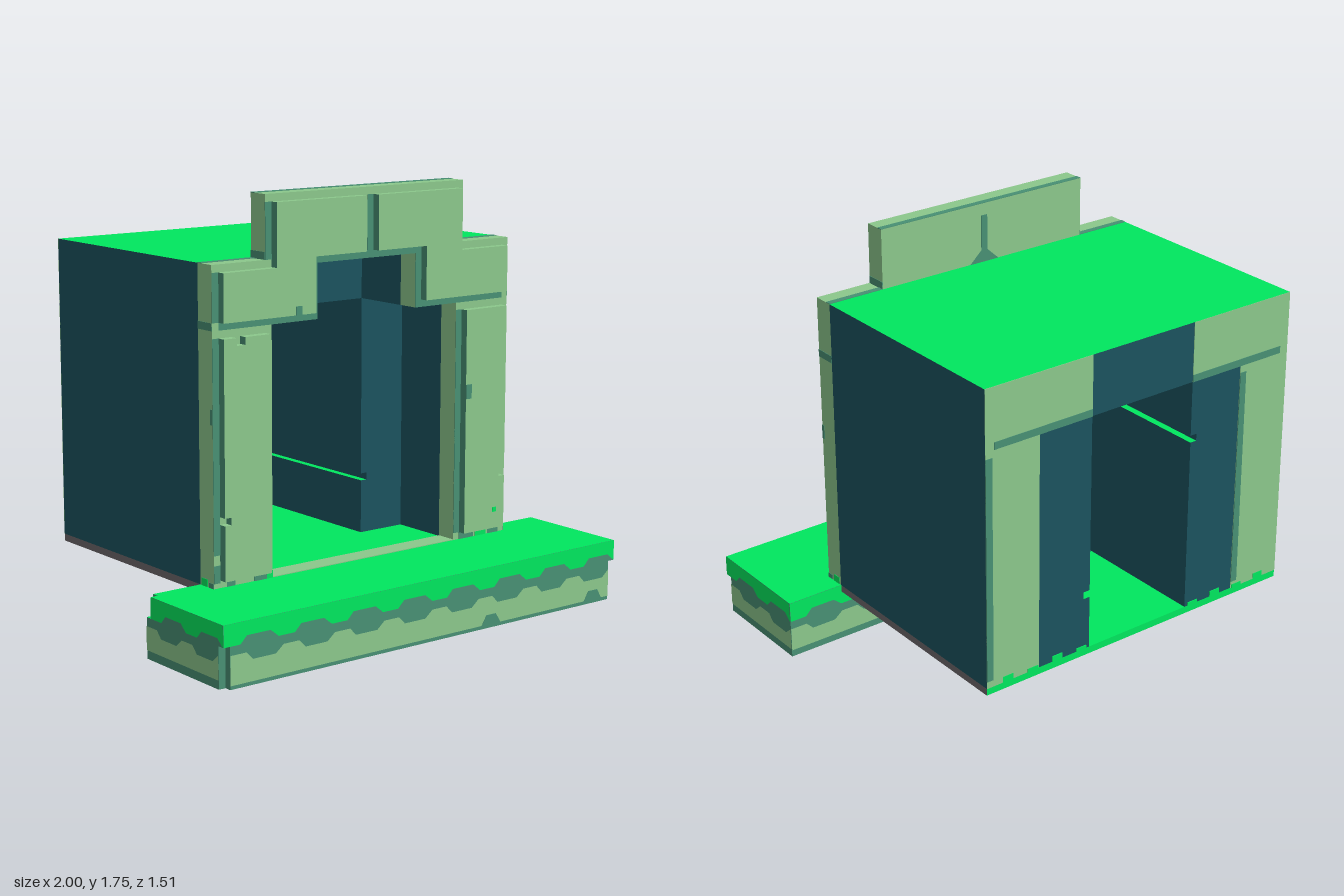
import * as THREE from 'three';

const mat = (name, color) => {
  const m = new THREE.MeshStandardMaterial({ color });
  m.name = name;
  return m;
};

export function createModel() {
  const root = new THREE.Group();
  root.name = 'tunnelGate';
  const GRASS = 0, STONE = 1, TEAL = 2, DARK = 3, GREY = 4;
  const mats = [
    mat('grass', 0x00ec60), mat('paleStone', 0x8bc78b), mat('tealStone', 0x489074),
    mat('darkWall', 0x1b525e), mat('greyBase', 0x6d686b),
  ];

  const add = (name, geo, material, parent = root) => {
    const m = new THREE.Mesh(geo, material);
    m.name = name;
    parent.add(m);
    return m;
  };
  // Choose a material per triangle from its facing direction
  const paint = (geo, rule) => {
    const g = geo.index ? geo.toNonIndexed() : geo;
    g.clearGroups();
    const n = g.attributes.normal;
    for (let i = 0; i < n.count; i += 3) g.addGroup(i, 3, rule(n.getX(i), n.getY(i), n.getZ(i)));
    return g;
  };
  const shape = (pts) => new THREE.Shape(pts.map(([x, y]) => new THREE.Vector2(x, y)));
  const slabOf = (pts, z0, z1) =>
    new THREE.ExtrudeGeometry(shape(pts), { depth: z1 - z0, bevelEnabled: false }).translate(0, 0, z0);
  const box = (x0, x1, y0, y1, z0, z1) =>
    new THREE.BoxGeometry(x1 - x0, y1 - y0, z1 - z0).translate((x0 + x1) / 2, (y0 + y1) / 2, (z0 + z1) / 2);
  const mirror = (pts) => pts.map(([x, y]) => [-x, y]).reverse();

  // ---- Ground slab: notched front corners below, one small notch above ----
  const slab = new THREE.Group();
  slab.name = 'groundSlab';
  root.add(slab);
  const c = 0.97, e = 0.03;
  const plan = (pts, y0, y1) => slabOf(pts, y0, y1).rotateX(-Math.PI / 2).translate(0, 0, 0.5);
  const grassTop = (x, y) => (y > 0.5 ? GRASS : TEAL);
  add('slabLower', paint(plan([
    [-c, -0.25], [c, -0.25], [c, -0.25 + e], [1, -0.25 + e], [1, 0.25], [-1, 0.25], [-1, -0.25 + e], [-c, -0.25 + e],
  ], 0, 0.165), grassTop), mats, slab);
  add('slabUpper', paint(plan([
    [-1, -0.25], [1, -0.25], [1, 0.25], [-c, 0.25], [-c, 0.25 - e], [-1, 0.25 - e],
  ], 0.165, 0.25), grassTop), mats, slab);

  // Stepped wave running from x = a to b between two heights
  const wave = (a, b, low, high, phase) => {
    const pts = [];
    const steps = Math.round((b - a) / 0.25);
    const p = (b - a) / steps;
    for (let i = 0; i < steps; i++) {
      [[0, 0], [0.3, 0], [0.42, 1], [0.85, 1]].forEach(([t, s]) =>
        pts.push([a + (i + t) * p, s === phase ? low : high]));
    }
    pts.push([b, phase ? high : low]);
    return pts;
  };
  // Each side: turn, distance out, grass span, stone span, stone bottom
  [
    [0, 0.25, [-1, 1], [-c, c], 0.015],
    [Math.PI, 0.25, [-1, c], [-1, 1], 0.03],
    [Math.PI / 2, 1, [-0.25, 0.25], [-0.22, 0.25], 0.035],
    [-Math.PI / 2, 1, [-0.22, 0.25], [-0.25, 0.22], 0.035],
  ].forEach(([turn, out, [g0, g1], [s0, s1], bottom]) => {
    const side = new THREE.Group();
    side.name = 'slabSideBands';
    side.position.z = 0.5;
    side.rotation.y = turn;
    slab.add(side);
    const grass = [...wave(g0, g1, 0.165, 0.195, 0), [g1, 0.25], [g0, 0.25]];
    const stone = [[s0, bottom], [s1, bottom], ...wave(s0, s1, 0.1, 0.13, 1).reverse()];
    add('grassFringe', new THREE.ShapeGeometry(shape(grass)).translate(0, 0, out + 0.002), mats[GRASS], side);
    add('stoneBand', new THREE.ShapeGeometry(shape(stone)).translate(0, 0, out + 0.002), mats[STONE], side);
  });
  // Low bumps along the foot of the front
  [0.31, 0.88].forEach((x) => add('footBump', slabOf([
    [x - 0.05, 0.015], [x + 0.05, 0.015], [x + 0.025, 0.055], [x - 0.025, 0.055],
  ], 0.75, 0.754), mats[TEAL], slab));

  // ---- Tunnel body ----
  const tunnel = new THREE.Group();
  tunnel.name = 'tunnel';
  root.add(tunnel);
  const wallRule = (x, y) => (y > 0.5 ? GRASS : y < -0.5 ? TEAL : DARK);
  // Narrow rear passage with a groove along each inner wall
  add('rearPassage', paint(slabOf([
    [-0.75, 0.25], [-0.25, 0.25], [-0.25, 0.99], [-0.28, 0.99], [-0.28, 1.02], [-0.25, 1.02], [-0.25, 1.25],
    [0.25, 1.25], [0.25, 0.505], [0.28, 0.505], [0.28, 0.475], [0.25, 0.475], [0.25, 0.25],
    [0.75, 0.25], [0.75, 1.5], [-0.75, 1.5],
  ], -0.75, 0), wallRule), mats, tunnel);
  // Wider front chamber
  const arch = [
    [-0.75, 0.25], [-0.47, 0.25], [-0.47, 1.25], [-0.25, 1.25], [-0.25, 1.47],
    [0.25, 1.47], [0.25, 1.25], [0.47, 1.25], [0.47, 0.25], [0.75, 0.25],
  ];
  add('frontChamber', paint(slabOf([...arch, [0.75, 1.5], [-0.75, 1.5]], 0, 0.25), wallRule), mats, tunnel);
  add('tunnelFloor', paint(box(-0.75, 0.75, 0.22, 0.25, -0.75, 0.25),
    (x, y, z) => (y > 0.5 || z < -0.5 ? GRASS : y < -0.5 ? TEAL : GREY)), mats, tunnel);
  add('chamberTuft', box(-0.28, -0.25, 0.25, 0.28, -0.001, 0.003), mats[GRASS], tunnel);

  // Painted rear face
  const rear = (name, m, x0, x1, y0, y1, lift = 0.002) =>
    add(name, box(x0, x1, y0, y1, -0.75 - lift, -0.749), mats[m], tunnel);
  [-1, 1].forEach((s) => {
    const span = (a, b) => [Math.min(s * a, s * b), Math.max(s * a, s * b)];
    rear('rearPillarFace', STONE, ...span(0.5, 0.75), 0.25, 1.25);
    rear('rearLintelFace', STONE, ...span(0.25, 0.75), 1.25, 1.5);
    rear('rearJoint', TEAL, ...span(0.25, 0.71), 1.25, 1.28, 0.004);
    const edge = s > 0 ? 0.735 : -0.515;
    rear('rearPillarEdge', TEAL, edge - 0.015, edge + 0.015, 0.28, 1.22, 0.004);
    for (let i = 0; i < 4; i++) {
      const x = s * (0.29 + i * 0.12);
      rear('rearGrassTuft', GRASS, x - 0.025, x + 0.025, 0.25, 0.265 + 0.01 * (i % 2), 0.004);
    }
  });

  // ---- Stepped stone portal ----
  const portal = new THREE.Group();
  portal.name = 'portal';
  root.add(portal);
  add('portalFrame', paint(slabOf([
    ...arch, [0.75, 1.5], [0.5, 1.5], [0.5, 1.75], [-0.5, 1.75], [-0.5, 1.5], [-0.75, 1.5],
  ], 0.25, 0.34), (x, y) => (y < -0.5 ? TEAL : STONE)), mats, portal);
  add('threshold', box(-0.47, 0.47, 0.248, 0.253, 0.25, 0.34), mats[STONE], portal);

  // Raised panels
  const panelRule = (x, y) => (Math.abs(x) > 0.5 || y < -0.5 ? TEAL : STONE);
  const panel = (name, pts) => add(name, paint(slabOf(pts, 0.34, 0.375), panelRule), mats, portal);
  const lintel = [
    [0.03, 1.5], [0.28, 1.5], [0.28, 1.28], [0.72, 1.28], [0.72, 1.47], [0.47, 1.47], [0.47, 1.72], [0.03, 1.72],
  ];
  panel('leftLintelPanel', lintel);
  panel('rightLintelPanel', mirror(lintel));
  panel('leftPillarPanel', [
    [0.5, 0.28], [0.72, 0.28], [0.72, 0.5], [0.69, 0.5], [0.69, 0.53], [0.72, 0.53], [0.72, 1.22], [0.5, 1.22],
  ]);
  panel('rightPillarPanel', [
    [-0.72, 0.28], [-0.5, 0.28], [-0.5, 1.22], [-0.62, 1.22], [-0.62, 1.19], [-0.66, 1.19], [-0.66, 1.22],
    [-0.72, 1.22], [-0.72, 0.53], [-0.69, 0.53], [-0.69, 0.5], [-0.72, 0.5],
  ]);

  // Painted grooves, chips and tufts on the front: x0, x1, y0, y1, colour, z
  [
    [-0.75, -0.72, 0.38, 1.22, TEAL, 0.34], [-0.75, -0.72, 0.27, 0.34, TEAL, 0.34],
    [0.47, 0.5, 0.28, 1.22, TEAL, 0.34],
    [-0.75, -0.72, 1.28, 1.47, TEAL, 0.34], [-0.5, -0.47, 1.5, 1.72, TEAL, 0.34],
    [0, 0.03, 1.5, 1.72, TEAL, 0.34], [-0.28, -0.25, 1.28, 1.47, TEAL, 0.34],
    [0.25, 0.28, 1.28, 1.47, TEAL, 0.34], [-0.28, 0.28, 1.47, 1.5, TEAL, 0.34],
    [-0.72, -0.25, 1.25, 1.28, TEAL, 0.34], [0.25, 0.72, 1.25, 1.28, TEAL, 0.34],
    [-0.69, -0.65, 0.25, 0.28, TEAL, 0.34], [-0.56, -0.5, 0.25, 0.27, TEAL, 0.34],
    [0.5, 0.58, 0.25, 0.28, TEAL, 0.34], [0.66, 0.72, 0.25, 0.28, TEAL, 0.34],
    [0.59, 0.65, 0.25, 0.275, GRASS, 0.34], [-0.5, -0.47, 0.25, 0.28, GRASS, 0.34],
    [0.5, 0.53, 0.85, 0.91, TEAL, 0.375],
    [-0.38, -0.35, 1.28, 1.315, TEAL, 0.375], [0.655, 0.675, 0.35, 0.37, GRASS, 0.375],
  ].forEach(([x0, x1, y0, y1, m, z]) =>
    add('frontMark', box(x0, x1, y0, y1, z - 0.001, z + 0.002), mats[m], portal));

  // Rear groove flaring at the roof, and shaded strips on the stepped top
  add('crestGroove', slabOf([
    [-0.07, 1.5], [0.07, 1.5], [0.015, 1.55], [0.015, 1.7], [-0.015, 1.7], [-0.015, 1.55],
  ], 0.248, 0.251), mats[TEAL], portal);
  [[-0.75, -0.5, 1.5], [-0.5, 0.5, 1.75], [0.5, 0.75, 1.5]].forEach(([x0, x1, y]) =>
    add('topStrip', box(x0, x1, y - 0.001, y + 0.002, 0.25, 0.275), mats[TEAL], portal));
  // Joint lines, chip and grass on the outer ends: x, y0, y1, z0, z1, colour
  [-1, 1].forEach((s) => {
    [
      [0.75, 1.25, 1.28, 0.25, 0.34, TEAL], [0.5, 1.5, 1.53, 0.25, 0.34, TEAL],
      [0.75, 0.25, 0.28, 0.26, 0.3, GRASS], [0.75, 0.25, 0.27, 0.31, 0.34, TEAL],
      [0.75, 0.89, 0.95, 0.325, 0.34, TEAL],
    ].forEach(([x, y0, y1, z0, z1, m]) => {
      const mid = s * x;
      add('endMark', box(mid - 0.002, mid + 0.002, y0, y1, z0, z1), mats[m], portal);
    });
  });
  return root;
}
